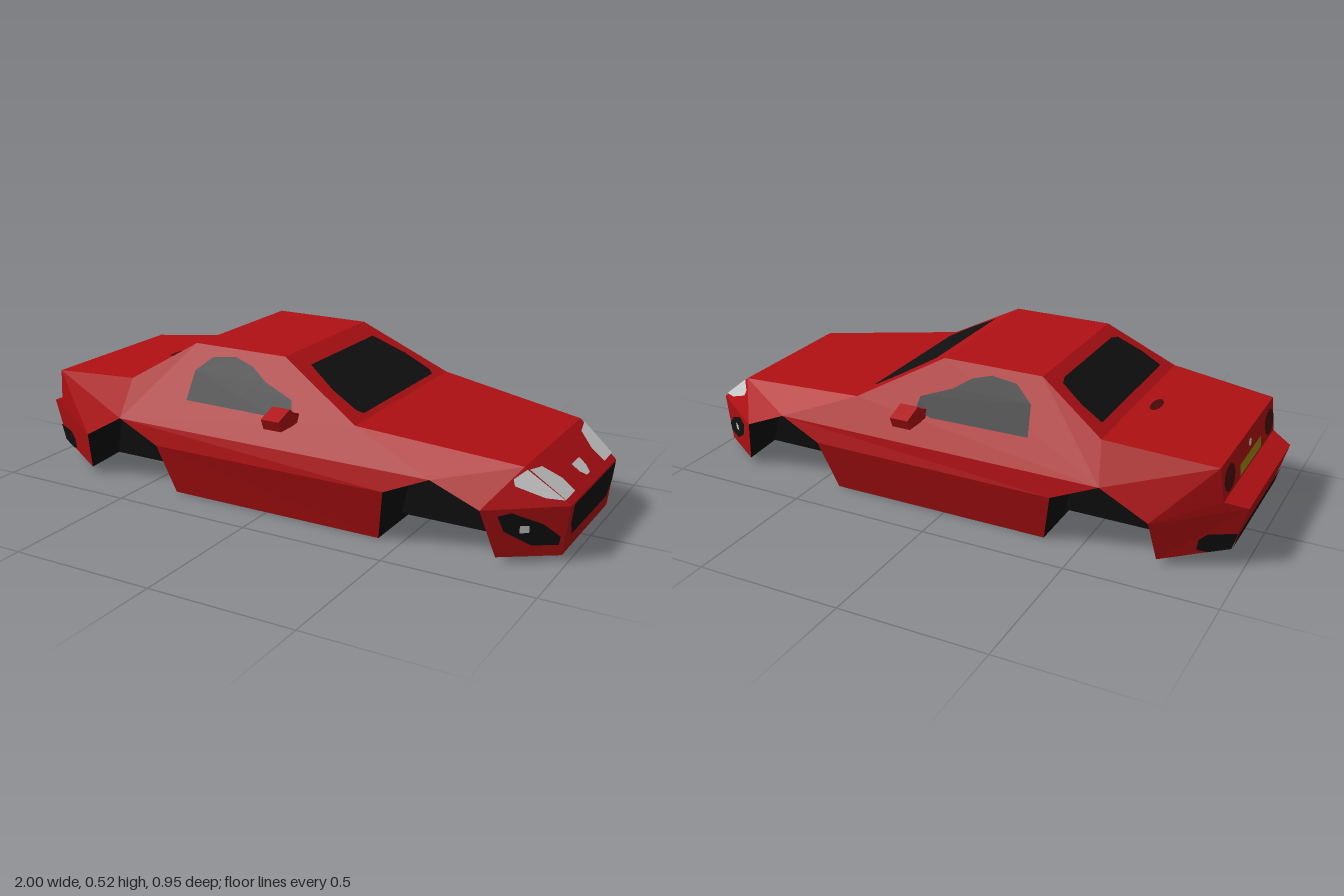
import * as THREE from 'three';

const mat = (name, color, side = THREE.FrontSide) => {
  const m = new THREE.MeshStandardMaterial({ color, side });
  m.name = name;
  return m;
};

// Body corners on the +z side; the other side is mirrored
const P = {
  tailTip: [-1, 0.21, 0.25], ledge: [-0.93, 0.235, 0.29], trunk: [-0.915, 0.35, 0.3],
  tailLow: [-0.955, 0.06, 0.25], beltR: [-0.55, 0.385, 0.343], roofR: [-0.32, 0.525, 0.275],
  roofF: [0.03, 0.525, 0.275], beltF: [0.33, 0.36, 0.35], hood: [0.86, 0.295, 0.265],
  nose: [1, 0.185, 0.23], noseLow: [0.98, 0.02, 0.23],
  r0: [-0.75, 0.02, 0.35], r1: [-0.73, 0.16, 0.39], r2: [-0.57, 0.25, 0.4],
  r3: [-0.41, 0.18, 0.408], r4: [-0.37, 0, 0.355],
  f0: [0.81, 0.02, 0.345], f1: [0.77, 0.18, 0.39], f2: [0.61, 0.25, 0.4],
  f3: [0.46, 0.185, 0.413], f4: [0.42, 0, 0.355],
};
const mir = ([x, y, z]) => [x, y, -z];
const WELL_Z = 0.2, FLOOR_Y = 0.03;

// Flat mesh from a list of convex polygons
function polyMesh(name, material, polys) {
  const pos = [];
  for (const p of polys)
    for (let i = 1; i < p.length - 1; i++) pos.push(...p[0], ...p[i], ...p[i + 1]);
  const g = new THREE.BufferGeometry();
  g.setAttribute('position', new THREE.Float32BufferAttribute(pos, 3));
  g.computeVertexNormals();
  const m = new THREE.Mesh(g, material);
  m.name = name;
  return m;
}
const bothSides = (polys) => [...polys, ...polys.map((p) => p.map(mir).reverse())];
const span = (a, b) => [a, b, mir(b), mir(a)];

// Thin painted plate: a 2D outline projected along one axis onto a body plane.
// Outline coordinates: axis x -> (z, y), axis y -> (x, z), axis z -> (x, y)
function plate(name, material, plane, axis, outline, lift = 0.004) {
  const [a, b, c] = plane.map((p) => new THREE.Vector3(...p));
  const n = b.clone().sub(a).cross(c.clone().sub(a)).normalize();
  if (n.dot(a.clone().add(b).add(c).divideScalar(3).sub(new THREE.Vector3(0, 0.15, 0))) < 0) n.negate();
  const pts = outline.map(([u, v]) => {
    const p = axis === 'x' ? new THREE.Vector3(0, v, u)
      : axis === 'y' ? new THREE.Vector3(u, 0, v) : new THREE.Vector3(u, v, 0);
    p[axis] = n.dot(a.clone().sub(p)) / n[axis];
    return p.addScaledVector(n, lift);
  });
  const tris = THREE.ShapeUtils.triangulateShape(outline.map((p) => new THREE.Vector2(...p)), []);
  const polys = tris.map((t) => {
    const [p, q, r] = t.map((i) => pts[i]);
    const flip = q.clone().sub(p).cross(r.clone().sub(p)).dot(n) < 0;
    return (flip ? [p, r, q] : [p, q, r]).map((v) => v.toArray());
  });
  return polyMesh(name, material, polys);
}

const rect = (u, v, w, h) => [[u - w, v - h], [u + w, v - h], [u + w, v + h], [u - w, v + h]];
const oval = (u, v, w, h, n = 10) => Array.from({ length: n }, (_, i) => {
  const t = (i / n) * Math.PI * 2;
  return [u + w * Math.cos(t), v + h * Math.sin(t)];
});

export function createModel() {
  const car = new THREE.Group();
  car.name = 'car';
  const red = mat('bodyRed', 0xb01013);
  const black = mat('glassBlack', 0x101010);
  const under = mat('undersideBlack', 0x0c0c0c, THREE.DoubleSide);
  const light = mat('lampGrey', 0xcccccc);
  const darkRed = mat('tailLampRed', 0x4a0a0a);
  const yellow = mat('plateYellow', 0x9a8a10);

  // Panels across the car, from tail over the roof to the nose
  const strip = [['rearBumper', 'tailLow', 'tailTip'], ['bumperLedge', 'tailTip', 'ledge'],
    ['tailPanel', 'ledge', 'trunk'], ['trunkLid', 'trunk', 'beltR'], ['rearPillar', 'beltR', 'roofR'],
    ['roof', 'roofR', 'roofF'], ['windshieldFrame', 'roofF', 'beltF'], ['hood', 'beltF', 'hood'],
    ['nosePanel', 'hood', 'nose'], ['frontBumper', 'nose', 'noseLow']];
  for (const [name, a, b] of strip) car.add(polyMesh(name, red, [span(P[a], P[b])]));

  // Flanks
  const flank = (name, list) => car.add(polyMesh(name, red,
    bothSides(list.map((s) => s.split(' ').map((k) => P[k])))));
  flank('cabinSides', ['r2 f2 beltF', 'r2 beltF roofF', 'r2 roofF roofR', 'r2 roofR beltR']);
  flank('doorSides', ['r2 r3 f3 f2']);
  flank('sills', ['r3 r4 f4 f3']);
  flank('frontFenders', ['f2 hood beltF', 'f2 f1 hood', 'f1 nose hood']);
  flank('frontCorners', ['f1 f0 noseLow', 'f1 noseLow nose']);
  flank('rearFenders', ['beltR trunk r2', 'trunk r1 r2', 'trunk ledge r1', 'ledge tailTip r1']);
  flank('rearCorners', ['tailTip tailLow r0', 'tailTip r0 r1']);

  // Wheel wells: arch liner, inner wall and the raised floor between them
  const inner = ([x, y], i) => [x, i === 0 ? FLOOR_Y : y, WELL_Z];
  for (const [name, k] of [['rearWheelWells', 'r'], ['frontWheelWells', 'f']]) {
    const arch = [0, 1, 2, 3, 4].map((i) => P[k + i]);
    const ins = arch.map(inner);
    const step = [arch[4][0], FLOOR_Y, WELL_Z];
    const polys = [];
    for (let i = 0; i < 4; i++) polys.push([arch[i], arch[i + 1], ins[i + 1], ins[i]]);
    polys.push([ins[2], ins[3], step, ins[0], ins[1]]);
    car.add(polyMesh(name, under, bothSides(polys)));
    car.add(polyMesh(name + 'Floor', under, [span(ins[0], step), span(step, ins[4])]));
  }
  const endFloor = (tip, v) => {
    const i = inner(v, 0);
    return [[tip, v, i], [tip, i, mir(i), mir(tip)], [mir(tip), mir(i), mir(v)]];
  };
  car.add(polyMesh('underside', under, [span(P.r4, P.f4),
    ...endFloor(P.noseLow, P.f0), ...endFloor(P.tailLow, P.r0)]));

  // Glass
  const plane = (a, b) => [P[a], P[b], mir(P[a])];
  car.add(plate('windshield', black, plane('roofF', 'beltF'), 'x',
    [[0.26, 0.37], [0.275, 0.38], [0.265, 0.43], [0.22, 0.49], [-0.22, 0.49], [-0.265, 0.43], [-0.275, 0.38], [-0.26, 0.37]]));
  car.add(plate('rearWindow', black, plane('beltR', 'roofR'), 'y',
    [[-0.52, 0.27], [-0.45, 0.265], [-0.37, 0.235], [-0.36, 0.2], [-0.36, -0.2], [-0.37, -0.235], [-0.45, -0.265], [-0.52, -0.27]]));

  // Nose and tail details on the centre line
  const nose = plane('hood', 'nose'), front = plane('nose', 'noseLow');
  const tail = plane('ledge', 'trunk'), bumper = plane('tailLow', 'tailTip');
  car.add(plate('grille', black, front, 'x',
    [[0.21, 0.184], [0.21, 0.12], [0.18, 0.075], [-0.18, 0.072], [-0.215, 0.12], [-0.215, 0.184]]));
  car.add(plate('noseBadge', light, nose, 'x',
    [[-0.038, 0.24], [-0.034, 0.22], [-0.015, 0.205], [0.015, 0.205], [0.034, 0.22], [0.038, 0.24]]));
  car.add(plate('trunkBadge', darkRed, plane('trunk', 'beltR'), 'y', oval(-0.61, -0.01, 0.018, 0.05)));
  car.add(plate('licensePlate', yellow, tail, 'x', rect(0, 0.265, 0.12, 0.018)));
  car.add(plate('trunkLock', light, tail, 'x', oval(0, 0.312, 0.016, 0.013, 8)));
  car.add(plate('rearValance', black, bumper, 'x', rect(0, 0.091, 0.25, 0.029)));

  // Details on both sides
  for (const s of [1, -1]) {
    const on = (...keys) => keys.map((k) => [P[k][0], P[k][1], P[k][2] * s]);
    const flip = (pts) => pts.map(([z, y]) => [z * s, y]);
    const side = s > 0 ? 'left' : 'right';
    car.add(plate(side + 'SideWindow', black, on('r2', 'roofF', 'roofR'), 'z',
      [[-0.31, 0.345], [-0.3, 0.44], [-0.24, 0.49], [-0.15, 0.5], [-0.08, 0.48], [-0.02, 0.44], [0.09, 0.4], [0.1, 0.36], [0.04, 0.342]]));
    car.add(plate(side + 'Headlight', light, nose, 'x',
      flip([[0.15, 0.2], [0.15, 0.235], [0.19, 0.275], [0.262, 0.285], [0.236, 0.2]])));
    car.add(plate(side + 'HeadlightCorner', light, on('f1', 'nose', 'hood'), 'z',
      [[0.868, 0.287], [0.982, 0.2], [0.93, 0.208], [0.845, 0.243], [0.838, 0.262]]));
    const corner = on('f1', 'noseLow', 'nose');
    car.add(plate(side + 'AirIntake', black, corner, 'z',
      [[0.815, 0.16], [0.85, 0.17], [0.93, 0.13], [0.975, 0.085], [0.97, 0.057], [0.9, 0.06], [0.83, 0.11]]));
    car.add(plate(side + 'FogLamp', light, corner, 'z', rect(0.882, 0.116, 0.012, 0.012), 0.008));
    car.add(plate(side + 'TailLamp', darkRed, tail, 'x', flip(oval(0.228, 0.29, 0.058, 0.042))));
    car.add(plate(side + 'ValanceCorner', black, on('tailTip', 'tailLow', 'r0'), 'z',
      [[-0.972, 0.12], [-0.89, 0.118], [-0.865, 0.098], [-0.86, 0.06], [-0.89, 0.05], [-0.955, 0.062]]));

    // Door mirror: outline in z-y, extruded along x
    const outline = flip([[0.335, 0.362], [0.38, 0.378], [0.405, 0.396], [0.474, 0.372], [0.459, 0.336], [0.39, 0.336], [0.335, 0.342]]);
    const g = new THREE.ExtrudeGeometry(new THREE.Shape(outline.map((p) => new THREE.Vector2(...p))),
      { depth: 0.065, bevelEnabled: false });
    g.rotateY(-Math.PI / 2).translate(0.125, 0, 0);
    const mirror = new THREE.Mesh(g, red);
    mirror.name = side + 'DoorMirror';
    car.add(mirror);
  }
  return car;
}
